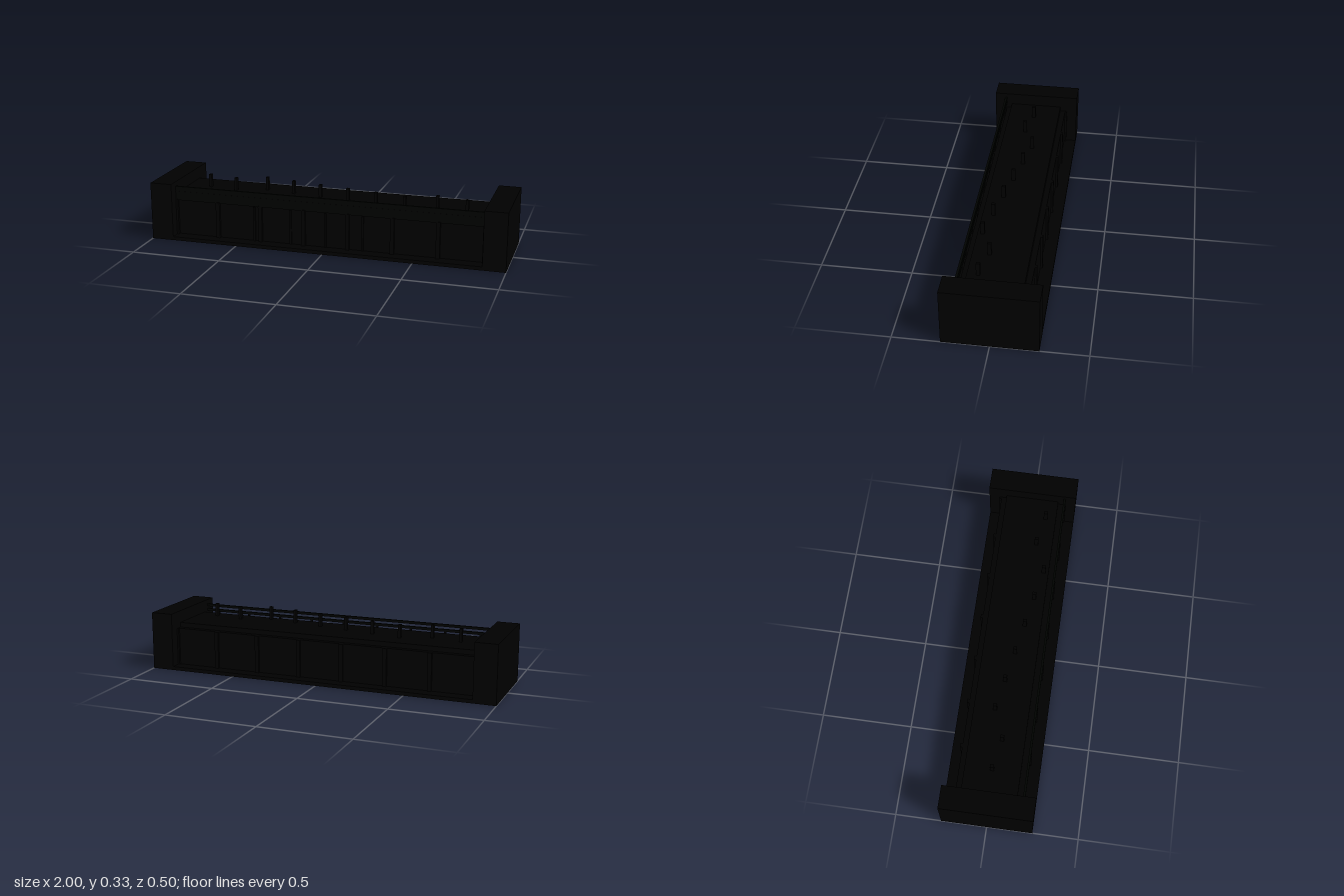
import * as THREE from 'three';

const body = new THREE.MeshStandardMaterial({ color: 0x000000 });
body.name = 'black';
const dark = new THREE.MeshStandardMaterial({ color: 0x000200 });
dark.name = 'green black';

export function createModel() {
  const model = new THREE.Group();

  // Box given by its extents on each axis
  function box(name, [x0, x1], [y0, y1], [z0, z1], material = body) {
    const mesh = new THREE.Mesh(new THREE.BoxGeometry(x1 - x0, y1 - y0, z1 - z0), material);
    mesh.position.set((x0 + x1) / 2, (y0 + y1) / 2, (z0 + z1) / 2);
    mesh.name = name;
    model.add(mesh);
  }

  const inner = 0.875;
  const span = [-inner, inner];

  // End blocks
  box('rightEndBlock', [-1, -inner], [0, 0.325], [-0.25, 0.25]);
  box('leftEndBlock', [inner, 1], [0, 0.325], [-0.25, 0.25]);

  // Base, core and stepped top
  box('base', span, [0, 0.02], [-0.25, 0.25]);
  box('core', span, [0.02, 0.23], [-0.18, 0.18]);
  box('topPanel', span, [0.23, 0.257], [-0.15, 0.15]);

  // Upright ribs on the front and back walls
  for (let i = 0; i < 8; i++) {
    const x = -0.875 + i * 0.25;
    const x0 = Math.max(x - 0.01, -inner), x1 = Math.min(x + 0.012, inner);
    box('backRib', [x0, x1], [0.02, 0.23], [-0.192, -0.18]);
    box('frontRib', [x0, x1], [0.02, 0.225], [0.18, 0.195]);
  }

  // Thin uprights between the middle front ribs
  for (const x of [-0.41, -0.2, 0, 0.21]) {
    box('frontUpright', [x - 0.006, x + 0.006], [0.02, 0.215], [0.18, 0.188]);
  }

  // Two thin rails along the front, on slim posts
  for (const y of [0.258, 0.286]) box('frontRail', span, [y, y + 0.014], [0.18, 0.192], dark);
  for (let i = -4; i <= 4; i++) {
    box('railPost', [i * 0.2 - 0.006, i * 0.2 + 0.006], [0.23, 0.26], [0.18, 0.19]);
  }

  // One-way front screen closing the gaps between the rails
  const screen = new THREE.Mesh(new THREE.PlaneGeometry(2 * inner, 0.08), dark);
  screen.position.set(0, 0.26, 0.191);
  screen.name = 'frontScreen';
  model.add(screen);

  // Ten pegs standing at staggered depths on the top panel
  const steps = [1, 2, 0, 1, 2, 3, 4, 5, 3, 4];
  steps.forEach((step, i) => {
    const x = -0.74 + i * 0.1667, z = -0.034 + step * 0.0312;
    box('peg', [x - 0.008, x + 0.008], [0.257, 0.33], [z - 0.0105, z + 0.0105]);
  });

  return model;
}
